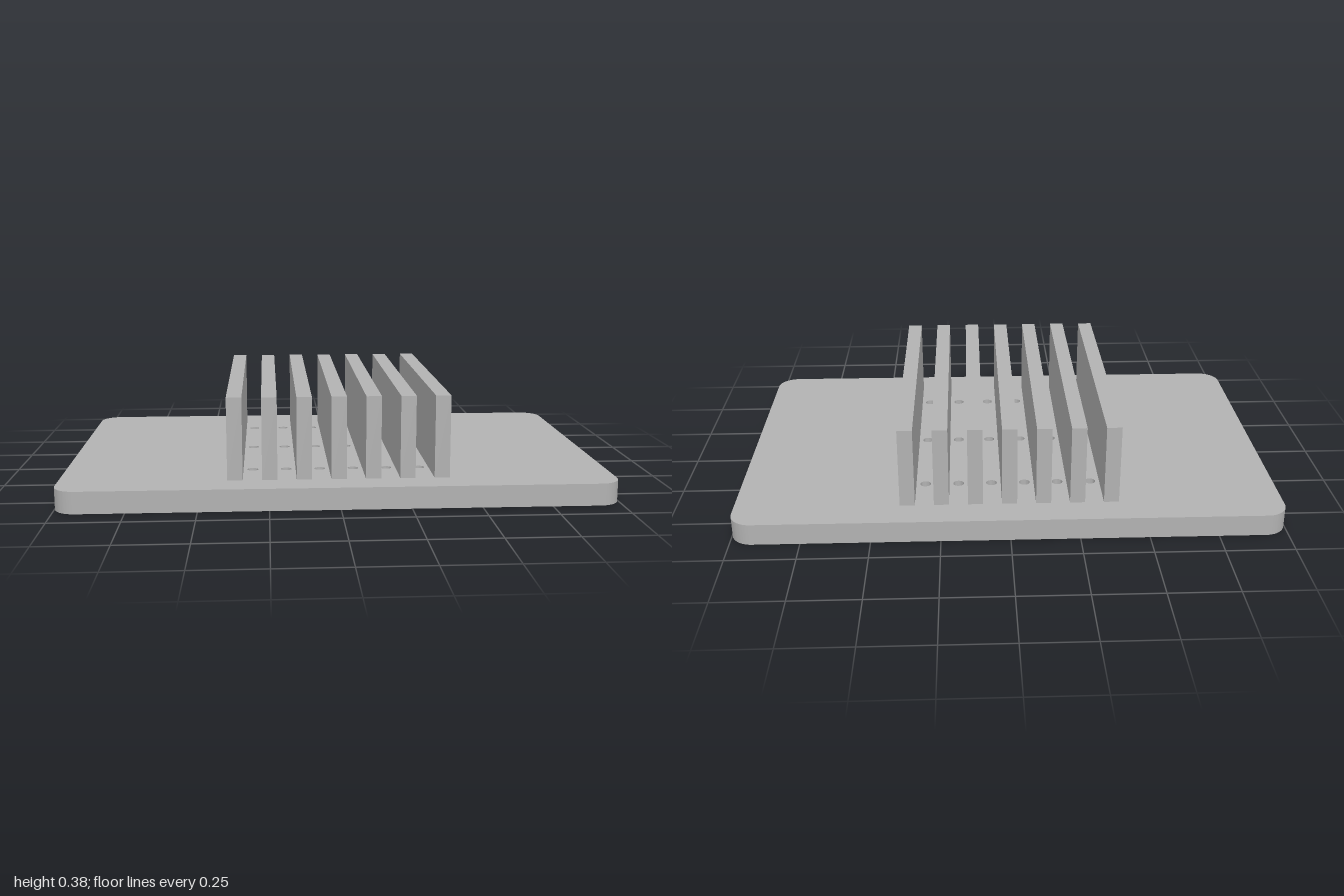
import * as THREE from 'three';
import { toCreasedNormals } from 'three/addons/utils/BufferGeometryUtils.js';

const BASE_H = 0.08, HALF_X = 1, HALF_Z = 0.65, CORNER = 0.08;
const FIN_COUNT = 7, FIN_W = 0.055, FIN_H = 0.3, FIN_L = 1.06, FIN_PITCH = 0.124;
const HOLE_R = 0.02, HOLE_ROW = 0.37;

// Rounded rectangle outline centred on the origin
function roundedRect(hx, hy, r) {
  const s = new THREE.Shape();
  s.absarc(hx - r, hy - r, r, 0, Math.PI / 2);
  s.absarc(-hx + r, hy - r, r, Math.PI / 2, Math.PI);
  s.absarc(-hx + r, -hy + r, r, Math.PI, Math.PI * 1.5);
  s.absarc(hx - r, -hy + r, r, Math.PI * 1.5, Math.PI * 2);
  s.closePath();
  return s;
}

export function createModel() {
  const group = new THREE.Group();
  group.name = 'finnedPlate';
  const grey = new THREE.MeshStandardMaterial({ color: 0xb2b2b2 });
  grey.name = 'grey';

  // Base plate with three rows of through holes between the fins
  const outline = roundedRect(HALF_X, HALF_Z, CORNER);
  for (let i = 0; i < FIN_COUNT - 1; i++) {
    for (const z of [-HOLE_ROW, 0, HOLE_ROW]) {
      const hole = new THREE.Path();
      hole.absarc((i - (FIN_COUNT - 2) / 2) * FIN_PITCH, z, HOLE_R, 0, Math.PI * 2, true);
      outline.holes.push(hole);
    }
  }
  const plate = new THREE.ExtrudeGeometry(outline, { depth: BASE_H, bevelEnabled: false, curveSegments: 12 });
  plate.rotateX(-Math.PI / 2);
  const base = new THREE.Mesh(toCreasedNormals(plate, 0.7), grey);
  base.name = 'basePlate';
  group.add(base);

  // Row of upright fins
  const finGeometry = new THREE.BoxGeometry(FIN_W, FIN_H, FIN_L);
  for (let i = 0; i < FIN_COUNT; i++) {
    const fin = new THREE.Mesh(finGeometry, grey);
    fin.name = `fin${i + 1}`;
    fin.position.set((i - (FIN_COUNT - 1) / 2) * FIN_PITCH, BASE_H + FIN_H / 2, 0);
    group.add(fin);
  }
  return group;
}
